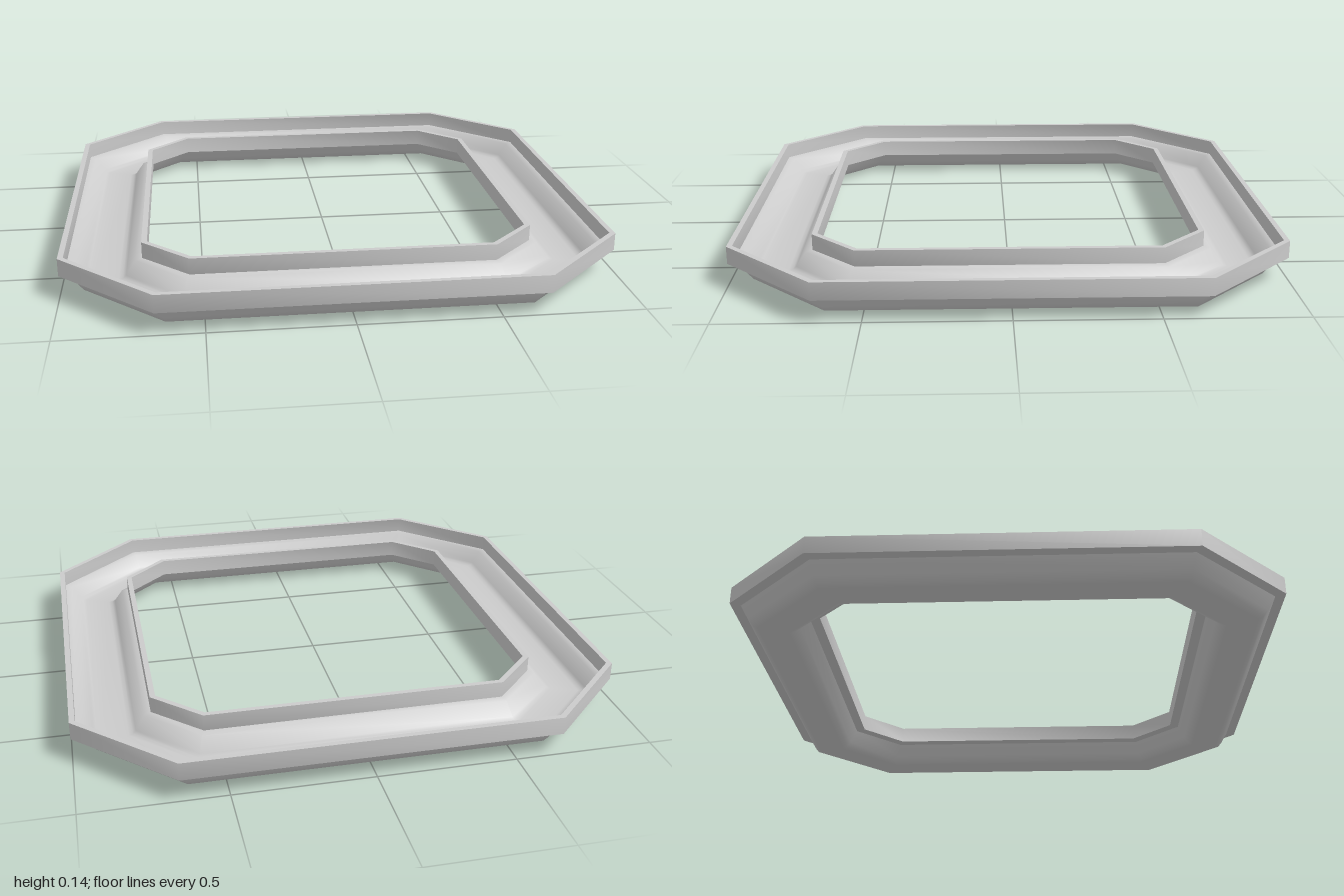
import * as THREE from 'three';
import { toCreasedNormals } from 'three/addons/utils/BufferGeometryUtils.js';

// Outer half of the channel section as [distance from centre, height],
// from the underside, round the rim and down to the trough floor
const outerHalf = [
  [0.9, 0], [0.918, 0.008], [0.935, 0.03], [0.963, 0.078],
  [1, 0.08], [1, 0.145], [0.98, 0.145], [0.98, 0.085],
  [0.955, 0.08], [0.922, 0.03], [0.91, 0.021], [0.895, 0.018],
];
const INNER = 0.695; // half-width of the opening
const CHAMFER = 0.665; // where the outer sides meet the cut corners

// Corners of a chamfered square whose sides are parallel offsets of the rim
function octagon(r) {
  const c = CHAMFER - (1 - r) * Math.tan(Math.PI / 8);
  return [[r, c], [r, -c], [c, -r], [-c, -r], [-r, -c], [-r, c], [-c, r], [c, r]];
}

function sweepSection(profile) {
  const positions = [], index = [];
  const n = profile.length;
  profile.forEach(([r, y], j) => {
    octagon(r).forEach(([x, z], i) => {
      positions.push(x, y, z);
      const next = (j + 1) % n, k = (i + 1) % 8;
      const a = j * 8 + i, b = j * 8 + k, c = next * 8 + i, d = next * 8 + k;
      index.push(a, b, c, b, d, c);
    });
  });
  const geometry = new THREE.BufferGeometry();
  geometry.setAttribute('position', new THREE.Float32BufferAttribute(positions, 3));
  geometry.setIndex(index);
  return toCreasedNormals(geometry, 0.9);
}

export function createModel() {
  const group = new THREE.Group();
  group.name = 'octagonalChannelRing';

  // The inner rim mirrors the outer one across the middle of the trough
  const innerHalf = outerHalf.map(([r, y]) => [1 + INNER - r, y]).reverse();
  const channel = new THREE.Mesh(
    sweepSection([...outerHalf, ...innerHalf]),
    new THREE.MeshStandardMaterial({ color: 0xcccccc })
  );
  channel.name = 'channel';
  group.add(channel);
  return group;
}
